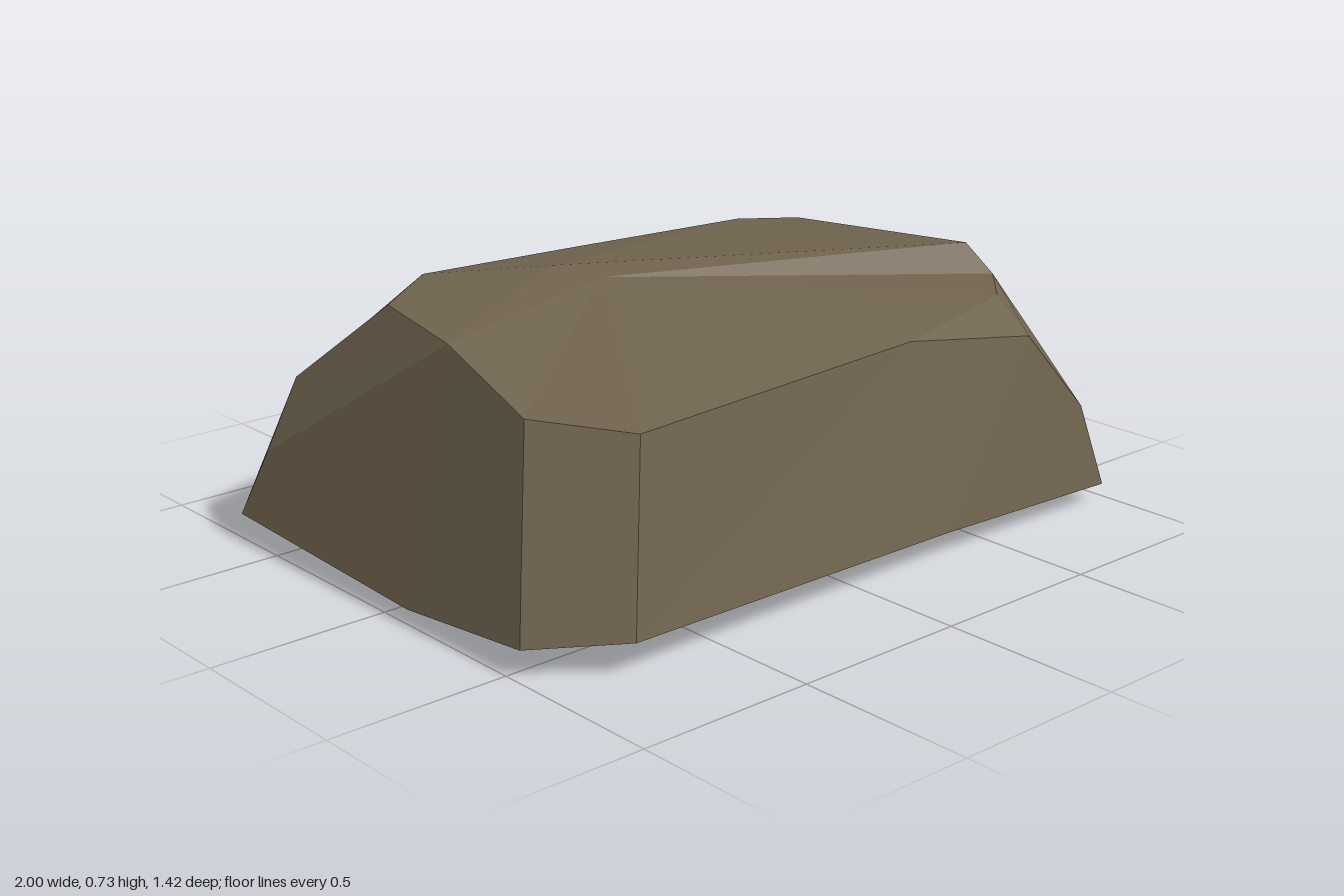
import * as THREE from 'three';

// Columns around the boulder, counter-clockwise from above, starting at the front.
// Each column runs base -> shoulder -> crest; a missing crest equals the shoulder.
const COLUMNS = [
  [[-0.77, 0.085, 0.705], [-0.66, 0.55, 0.595]],
  [[0.33, 0.07, 0.69], [0.3, 0.575, 0.56]],
  [[0.97, 0.05, 0.69], [0.75, 0.505, 0.58], [0.74, 0.6, 0.47]],
  [[0.97, 0.05, 0.69], [0.92, 0.28, 0.64], [0.845, 0.62, 0.36]],
  [[1, 0.03, -0.2], [0.83, 0.695, 0.27]],
  [[1, 0.01, -0.67], [0.86, 0.536, -0.56], [0.82, 0.645, -0.4]],
  [[0.5, 0, -0.705], [0.47, 0.52, -0.6], [0.63, 0.66, -0.465]],
  [[-0.2, 0.03, -0.715], [-0.1, 0.545, -0.6], [0, 0.685, -0.453]],
  [[-0.77, 0.046, -0.69], [-0.63, 0.56, -0.58], [-0.54, 0.705, -0.44]],
  [[-1, 0.07, -0.67], [-0.85, 0.444, -0.6], [-0.77, 0.7, -0.27]],
  [[-1, 0.07, -0.67], [-0.95, 0.257, -0.6], [-0.83, 0.685, 0.07]],
  [[-1, 0.04, 0.1], [-0.83, 0.685, 0.07]],
  [[-0.98, 0.07, 0.53], [-0.86, 0.585, 0.41]],
];
const RIDGE = [-0.27, 0.728, -0.21]; // inner end of the raised ledge
const FOOT = [-0.21, 0.708, -0.09]; // foot of the ledge step
const BASE_CENTRE = [0, 0.035, 0];

const same = (a, b) => a.every((v, i) => v === b[i]);

// Flat-faceted mesh from a list of triangles, dropping collapsed ones
function facets(name, triangles, material) {
  const kept = triangles.filter(([a, b, c]) => !same(a, b) && !same(b, c) && !same(c, a));
  const geometry = new THREE.BufferGeometry();
  geometry.setAttribute('position', new THREE.Float32BufferAttribute(kept.flat(2), 3));
  geometry.computeVertexNormals();
  const mesh = new THREE.Mesh(geometry, material);
  mesh.name = name;
  return mesh;
}

export function createModel() {
  const stone = new THREE.MeshStandardMaterial({ color: 0x6e624d });
  stone.name = 'brown stone';

  const walls = [], bevel = [], top = [], underside = [];
  const n = COLUMNS.length;
  for (let i = 0; i < n; i++) {
    const [b0, s0, c0 = s0] = COLUMNS[i];
    const [b1, s1, c1 = s1] = COLUMNS[(i + 1) % n];
    walls.push([b0, b1, s1], [b0, s1, s0]);
    bevel.push([s0, s1, c1], [s0, c1, c0]);
    underside.push([BASE_CENTRE, b1, b0]);
    // The back of the top fans from the ridge, the front from the ledge foot
    top.push([i >= 4 && i <= 10 ? RIDGE : FOOT, c0, c1]);
  }
  // Ledge step and the small facet closing it on the far side
  top.push([FOOT, COLUMNS[4][1], RIDGE], [RIDGE, COLUMNS[11][1], FOOT]);

  const boulder = new THREE.Group();
  boulder.name = 'boulder';
  boulder.add(
    facets('walls', walls, stone),
    facets('bevel', bevel, stone),
    facets('top', top, stone),
    facets('underside', underside, stone),
  );
  return boulder;
}
